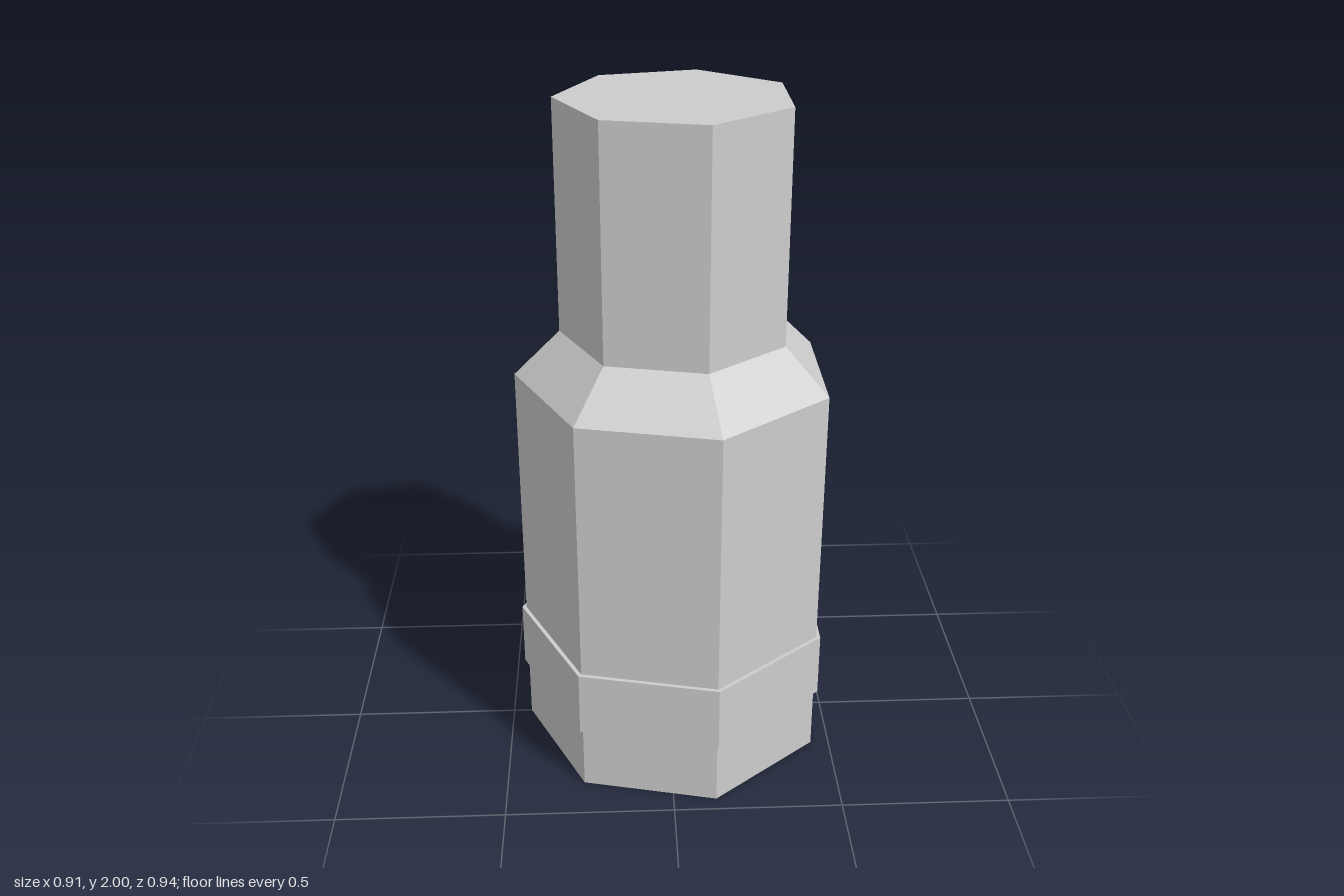
import * as THREE from 'three';

const SIDES = 7;
const BODY_R = 0.467, NECK_R = 0.333, BAND_R = 0.48;

export function createModel() {
  const group = new THREE.Group();
  group.name = 'bottle';
  const grey = new THREE.MeshStandardMaterial({ color: 0xcccccc, flatShading: true });
  grey.name = 'light grey';

  const add = (name, geometry) => {
    const mesh = new THREE.Mesh(geometry, grey);
    mesh.name = name;
    group.add(mesh);
    return mesh;
  };

  // Seven-sided wall swept from a [radius, height] profile, with a corner at -x
  const wall = (name, profile) => {
    const points = profile.map(([r, y]) => new THREE.Vector2(r, y));
    const geometry = new THREE.LatheGeometry(points, SIDES, -Math.PI / 2).toNonIndexed();
    geometry.computeVertexNormals();
    return add(name, geometry);
  };

  // Seven-sided end face, facing up (1) or down (-1)
  const cap = (name, radius, y, facing) => {
    const geometry = new THREE.CircleGeometry(radius, SIDES, Math.PI);
    geometry.rotateX(-facing * Math.PI / 2);
    add(name, geometry).position.y = y;
  };

  // Main body, bottom to top
  cap('base', BODY_R, 0, -1);
  wall('barrel', [[BODY_R, 0], [BODY_R, 1.2]]);
  wall('shoulder', [[BODY_R, 1.2], [NECK_R, 1.333]]);
  wall('neck', [[NECK_R, 1.333], [NECK_R, 2]]);
  cap('top', NECK_R, 2, 1);

  // Raised band with a narrow ledge above and below
  wall('band', [[BODY_R, 0.2], [BAND_R, 0.2], [BAND_R, 0.4], [BODY_R, 0.4]]);

  // Centre the heptagon's bounding box on x
  group.children.forEach((mesh) => { mesh.position.x = 0.0235; });
  return group;
}
